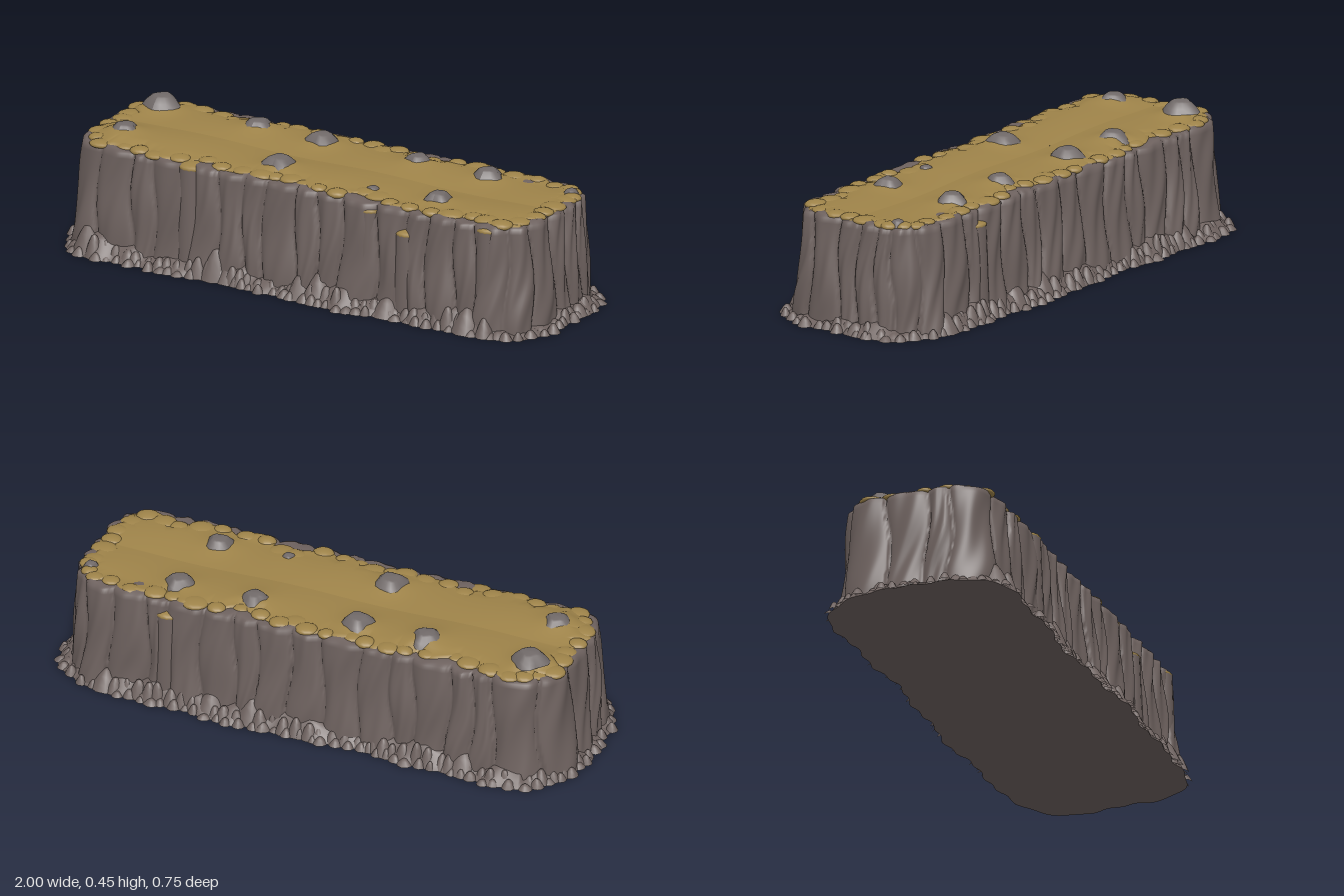
import * as THREE from 'three';
import { mergeGeometries } from 'three/addons/utils/BufferGeometryUtils.js';

const N = 760, A = 0.908, B = 0.268, R = 0.15, TOP = 0.381;

export function createModel() {
  const group = new THREE.Group();
  group.name = 'cliffBlock';
  const mat = (name, color) => {
    const m = new THREE.MeshStandardMaterial({ color });
    m.name = name;
    return m;
  };
  const rock = mat('brownRock', 0x6e625f);
  const sand = mat('sand', 0x9e8349);
  const stone = mat('greyStone', 0x716a69);

  let seed = 17;
  const rnd = (lo = 0, hi = 1) => {
    seed = (seed * 16807) % 2147483647;
    return lo + (hi - lo) * seed / 2147483647;
  };
  const add = (geo, material, name) => {
    const m = new THREE.Mesh(geo, material);
    m.name = name;
    group.add(m);
    return m;
  };

  // Closed skin through rings of equal point count
  const loft = (rings) => {
    const pos = [], idx = [], n = rings[0].length;
    rings.forEach((r) => r.forEach((p) => pos.push(p.x, p.y, p.z)));
    for (let j = 0; j < rings.length - 1; j++) {
      for (let i = 0; i < n; i++) {
        const k = (i + 1) % n, a = j * n + i, b = j * n + k;
        idx.push(a, a + n, b, b, a + n, b + n);
      }
    }
    const g = new THREE.BufferGeometry();
    g.setAttribute('position', new THREE.Float32BufferAttribute(pos, 3));
    g.setIndex(idx);
    g.computeVertexNormals();
    return g;
  };

  // Rounded rectangle outline and its outward normals
  const path = new THREE.Path();
  path.moveTo(A, R - B).lineTo(A, B - R);
  path.absarc(A - R, B - R, R, 0, Math.PI / 2);
  path.lineTo(R - A, B);
  path.absarc(R - A, B - R, R, Math.PI / 2, Math.PI);
  path.lineTo(-A, R - B);
  path.absarc(R - A, R - B, R, Math.PI, Math.PI * 1.5);
  path.lineTo(A - R, -B);
  path.absarc(A - R, R - B, R, Math.PI * 1.5, Math.PI * 2);
  const outline = path.getSpacedPoints(N).slice(0, N);
  const normals = outline.map((_, i) => {
    const p = outline[(i + N - 2) % N], q = outline[(i + 2) % N];
    return new THREE.Vector2(q.y - p.y, p.x - q.x).normalize();
  });
  const at = (i, off, y) => {
    const k = ((Math.round(i) % N) + N) % N;
    return new THREE.Vector3(outline[k].x + normals[k].x * off, y, outline[k].y + normals[k].y * off);
  };
  const ring = (fn) => outline.map((_, i) => at(i, ...fn(i)));

  // Irregular upright rock columns with pinched seams
  const columns = [];
  for (let s = 0; s < N;) {
    const w = Math.min(rnd(13, 29), N - s);
    columns.push({ s, w, depth: rnd(0.018, 0.032), out: rnd(-0.005, 0.006), ph: rnd(0, 6) });
    s += w;
  }
  const wave = (i, f, ph) => Math.sin(i / N * Math.PI * 2 * f + ph);
  const columnOffset = (i, v) => {
    const s = (i + 2 * Math.sin(v * 5 + wave(i, 7, 1) * 2) + N) % N;
    const c = columns.find((q) => s >= q.s && s < q.s + q.w) || columns[0];
    const u = ((s - c.s) / c.w) * 2 - 1;
    const bulge = c.depth * (Math.sqrt(Math.max(0, 1 - u * u)) - 0.78);
    const grain = 0.004 * Math.sin(u * 5 + v * 9 + c.ph) * (1 - u * u);
    return bulge + c.out * (1 - 0.5 * v) + grain + 0.006 * Math.sin(v * 6 + c.ph) * (1 - v);
  };

  // Rock wall, rounded over at the rim
  const wallRings = [];
  for (let j = 0; j <= 20; j++) {
    const v = j / 20;
    wallRings.push(ring((i) => [columnOffset(i, v) + 0.03 * (1 - v) + 0.004, TOP * v]));
  }
  const rimY = (i) => TOP + 0.007 + 0.004 * wave(i, 23, 0);
  [[0.008, 0], [0.04, 0], [0.09, -0.004]].forEach(([inset, dy]) =>
    wallRings.push(ring((i) => [columnOffset(i, 1) - inset, rimY(i) + dy])));
  add(loft(wallRings), rock, 'rockWall');

  // Sloping rubble skirt and flat underside
  const reach = (i) => 0.064 + 0.009 * wave(i, 5, 0.6) + 0.008 * wave(i, 13, 2) + 0.005 * wave(i, 41, 0);
  const rise = (i) => {
    const end = Math.abs(outline[i].x) > A - 0.1;
    return (end ? 0.03 : 0.055) + 0.015 * wave(i, 9, 1) + 0.008 * wave(i, 31, 2);
  };
  add(loft([[1.05, 0], [0.9, 0.3], [0.72, 0.48], [0.52, 0.85], [0.25, 1], [-0.2, 1.05]].map(([o, h]) =>
    ring((i) => [reach(i) * o, rise(i) * h]))), rock, 'rubbleSkirt');
  add(loft([
    outline.map((p) => new THREE.Vector3(THREE.MathUtils.clamp(p.x, -0.6, 0.6), 0, 0)),
    ring((i) => [reach(i) * 1.05, 0]),
  ]), rock, 'underside');

  // Small pointed rubble mounds along the foot
  const profile = [[1, 0], [0.78, 0.32], [0.5, 0.7], [0.24, 0.94], [0, 1]].map((p) => new THREE.Vector2(...p));
  const mounds = [];
  const mound = (p, r, h) => {
    const g = new THREE.LatheGeometry(profile, 10);
    g.scale(r * rnd(0.9, 1.15), h, r * rnd(0.9, 1.15));
    g.rotateY(rnd(0, 6));
    g.translate(p.x, p.y, p.z);
    mounds.push(g);
  };
  for (let i = 0; i < N; i += rnd(5, 9)) {
    const k = Math.floor(i);
    mound(at(k, reach(k) - rnd(0, 0.012), 0), rnd(0.018, 0.027), rnd(0.016, 0.034));
    mound(at(k + 3, reach(k) * rnd(0.45, 0.65), 0), rnd(0.026, 0.036), rise(k) * rnd(0.85, 1.1));
  }
  // Larger heaps against the long sides: x, side, height
  [[-0.82, 1, 0.10], [-0.3, 1, 0.11], [-0.24, 1, 0.07], [0.05, 1, 0.09], [0.12, 1, 0.10], [0.4, 1, 0.07],
    [0.72, 1, 0.09], [-0.6, -1, 0.08], [0.2, -1, 0.09], [0.35, -1, 0.08], [0.75, -1, 0.07]].forEach(([x, s, h]) =>
    mound(new THREE.Vector3(x, 0, s * 0.282), 0.06, h));
  add(mergeGeometries(mounds), rock, 'rubbleMounds');

  // Sandy top with low dunes, swept up around each stone: x, z, top, size
  const stones = [[-0.79, -0.15, 0.45, 1.05], [-0.4, -0.15, 0.432, 1], [-0.14, -0.15, 0.432, 1],
    [0.25, -0.15, 0.426, 0.9], [0.53, -0.155, 0.426, 0.95], [-0.77, 0.125, 0.432, 0.95],
    [-0.14, 0.13, 0.432, 1.05], [0.51, 0.135, 0.424, 0.9], [0.26, 0.16, 0.405, 0.55], [0.86, -0.17, 0.408, 0.55]];
  const sandY = (x, z) => {
    let y = 0.390 - 0.007 * x + 0.004 * Math.sin(x * 9 + z * 8) + 0.009 * Math.sin(Math.min(1, Math.abs(z) / 0.2) * 2.4);
    stones.forEach(([sx, sz, h]) => {
      y += (h - 0.4) * 0.55 * Math.exp(-((x - sx) ** 2 + (z - sz) ** 2) / 0.0045);
    });
    return y;
  };
  // The sand edge draws back in places and bares the rock rim
  const sandInset = (i) => {
    const { x, y } = outline[i];
    let d = 0.016 + 0.009 * wave(i, 19, 1) + 0.006 * wave(i, 37, 0);
    [[-0.36, 1], [0.27, 1], [0.7, 1], [-0.06, 1], [0.24, -1], [-0.52, -1]].forEach(([nx, side]) => {
      if (y * side > 0.2) d += 0.035 * Math.exp(-((x - nx) ** 2) / 0.004);
    });
    return d;
  };
  const rim = ring((i) => [columnOffset(i, 1) - sandInset(i) - 0.01, 0]);
  const sandRings = [ring((i) => [columnOffset(i, 1) - sandInset(i), rimY(i) - 0.008])];
  for (let j = 0; j <= 18; j++) {
    sandRings.push(rim.map((p, i) => {
      const k = j / 18;
      const x = THREE.MathUtils.lerp(p.x, THREE.MathUtils.clamp(p.x, -0.68, 0.68), k);
      const z = p.z * (1 - k);
      return new THREE.Vector3(x, THREE.MathUtils.lerp(rimY(i) + 0.004, sandY(x, z), Math.min(1, k * 5)), z);
    }));
  }
  add(loft(sandRings), sand, 'sandTop');

  // Sand clumps spilling along the rim
  const clumps = [];
  const clump = (p, rx, ry, rz) => {
    const g = new THREE.SphereGeometry(1, 14, 8);
    g.scale(rx, ry, rz);
    g.translate(p.x, p.y, p.z);
    clumps.push(g);
  };
  for (let i = 0; i < N; i += rnd(8, 17)) {
    const r = rnd(0.028, 0.046), k = Math.floor(i);
    clump(at(k, -sandInset(k) - r * rnd(0.45, 0.75), 0.386), r * 1.1, rnd(0.011, 0.017), r);
  }

  // Short buttresses with sandy ledges: x, z, radius, height
  const buttresses = [];
  [[0.46, 0.25, 0.052, 0.3], [0.3, 0.246, 0.045, 0.355], [-0.42, 0.24, 0.058, 0.375],
    [0.78, 0.242, 0.048, 0.37], [0.53, -0.25, 0.05, 0.33]].forEach(([x, z, r, h]) => {
    const g = new THREE.CylinderGeometry(r * 0.85, r * 1.1, h, 16, 1);
    g.translate(x, h / 2, z);
    buttresses.push(g);
    clump(new THREE.Vector3(x, h, z), r * 0.9, 0.016, r * 0.88);
  });
  add(mergeGeometries(buttresses), rock, 'buttresses');
  add(mergeGeometries(clumps), sand, 'sandClumps');

  // Blunt grey stones set in the sand
  stones.forEach(([x, z, top, s]) => {
    const pts = [[0.062, -0.038], [0.05, -0.02], [0.034, -0.004], [0.026, 0], [0, 0.001]]
      .map(([r, y]) => new THREE.Vector2(r * s, y));
    const g = new THREE.LatheGeometry(pts, 16);
    const p = g.attributes.position;
    const ph = rnd(0, 6);
    for (let i = 0; i < p.count; i++) {
      const a = Math.atan2(p.getZ(i), p.getX(i));
      const k = 1 + 0.09 * Math.sin(4 * a + ph) + 0.06 * Math.sin(3 * a);
      p.setXYZ(i, p.getX(i) * k, p.getY(i), p.getZ(i) * k);
    }
    g.computeVertexNormals();
    add(g, stone, 'topStone').position.set(x, top, z);
  });
  return group;
}
